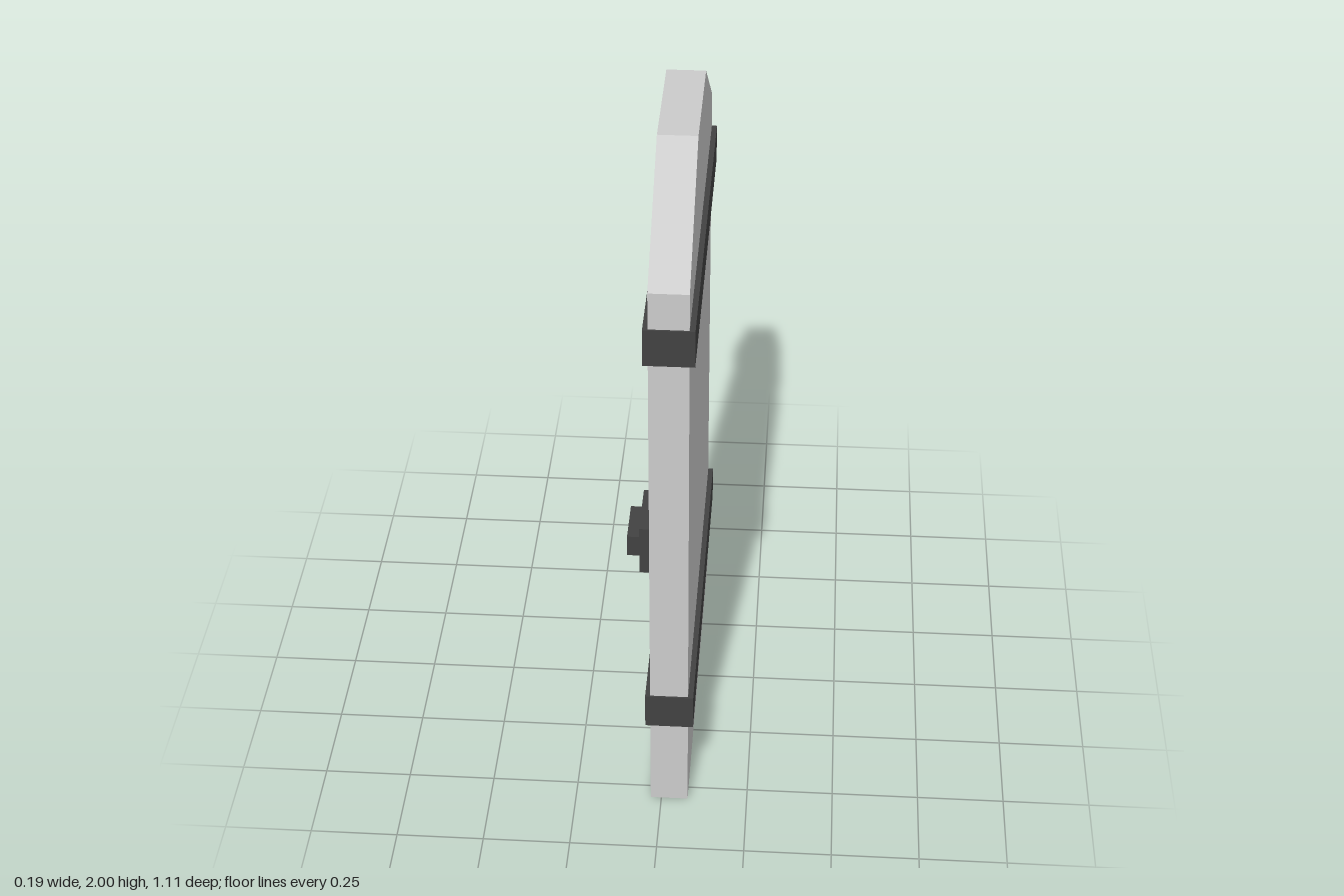
import * as THREE from 'three';

export function createModel() {
  const group = new THREE.Group();
  const wood = new THREE.MeshStandardMaterial({ color: 0xcccccc, flatShading: true });
  const iron = new THREE.MeshStandardMaterial({ color: 0x424242, flatShading: true });

  // box given by its minimum and maximum corners
  function addBox(name, min, max, material) {
    const size = max.map((v, i) => v - min[i]);
    const mesh = new THREE.Mesh(new THREE.BoxGeometry(...size), material);
    mesh.position.set(...min.map((v, i) => (v + max[i]) / 2));
    mesh.name = name;
    group.add(mesh);
  }

  // door slab with sloped top corners, outline in (z, y), extruded along x
  const outline = [[-0.548, 0], [0.548, 0], [0.548, 1.743], [0.185, 2], [-0.185, 2], [-0.548, 1.743]];
  const shape = new THREE.Shape(outline.map(([z, y]) => new THREE.Vector2(z, y)));
  const slab = new THREE.Mesh(
    new THREE.ExtrudeGeometry(shape, { depth: 0.108, bevelEnabled: false }), wood);
  slab.rotation.y = -Math.PI / 2; // shape x -> +z, extrusion -> -x
  slab.position.x = 0.077;
  slab.name = 'doorSlab';
  group.add(slab);

  // iron bands wrapped around the slab
  for (const [name, y] of [['lowerBand', 0.286], ['upperBand', 1.526]]) {
    addBox(name, [-0.045, y, -0.553], [0.092, y + 0.109, 0.553], iron);
  }

  // handle on the right face: back plate and grip
  addBox('handlePlate', [-0.059, 0.828, 0.352], [-0.031, 0.977, 0.53], iron);
  addBox('handleGrip', [-0.094, 0.87, 0.372], [-0.059, 0.934, 0.51], iron);

  return group;
}
